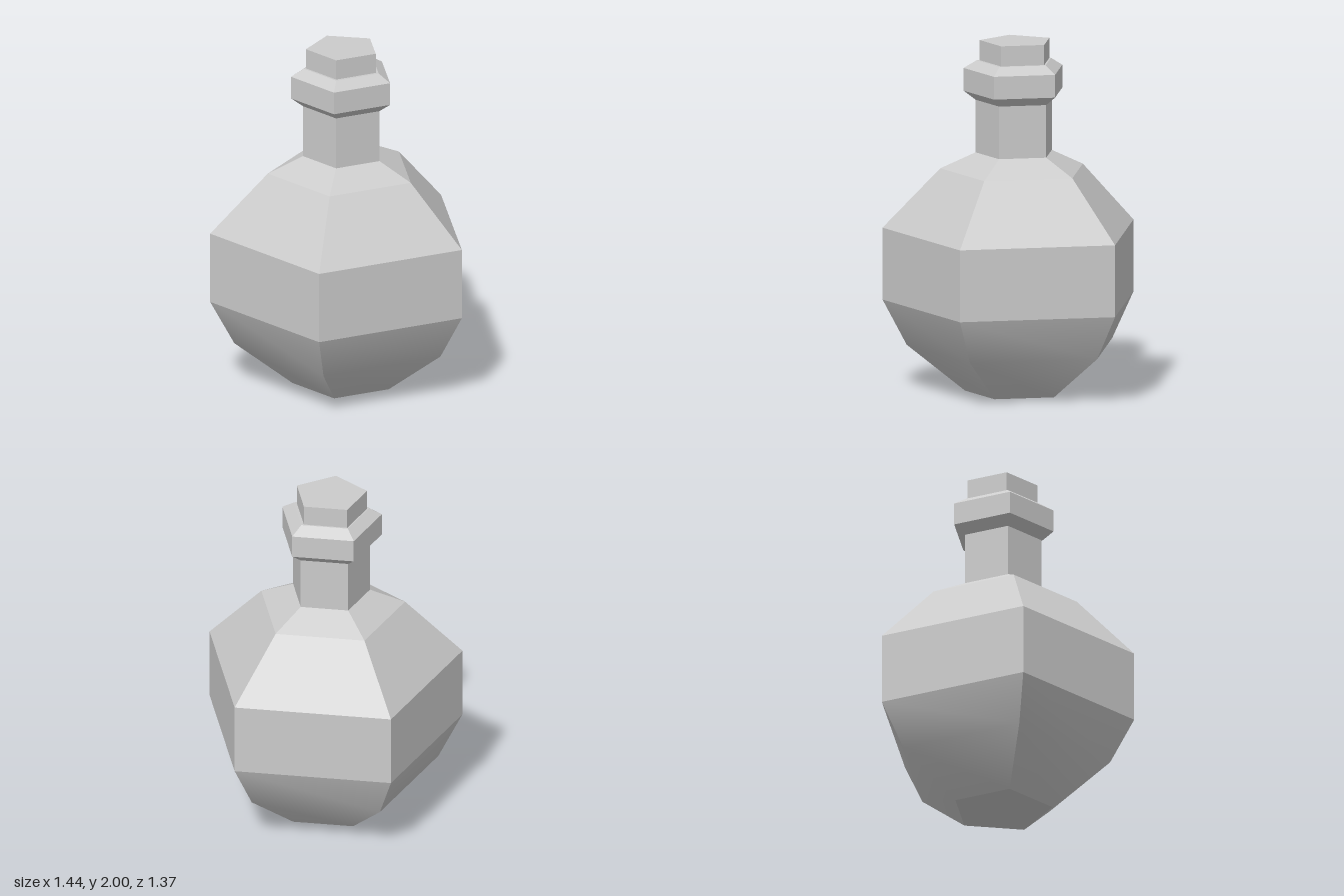
import * as THREE from 'three';
import { toCreasedNormals } from 'three/addons/utils/BufferGeometryUtils.js';

const SIDES = 5;
const AXIS_Z = 0.07; // pentagon axis, offset so the bounding box is centred

// Five-sided solid of revolution with one corner pointing to the back;
// profile is [radius, y] pairs from bottom to top.
function pentagonLathe(name, profile, smoothAngle = 0) {
  const points = profile.map(([r, y]) => new THREE.Vector2(r, y));
  let geometry = new THREE.LatheGeometry(points, SIDES, Math.PI);
  if (smoothAngle) geometry = toCreasedNormals(geometry, smoothAngle);
  const material = new THREE.MeshStandardMaterial({
    color: 0xcccccc,
    flatShading: !smoothAngle,
  });
  const mesh = new THREE.Mesh(geometry, material);
  mesh.name = name;
  mesh.position.z = AXIS_Z;
  return mesh;
}

export function createModel() {
  const flask = new THREE.Group();
  flask.name = 'flask';

  // Rounded underside, softly shaded between its two bands
  flask.add(pentagonLathe('bowl', [[0, 0], [0.29, 0], [0.62, 0.255], [0.757, 0.51]], 0.5));

  // Straight belly and shoulders
  flask.add(pentagonLathe('belly', [[0.757, 0.51], [0.757, 0.92], [0.43, 1.265], [0.23, 1.36]]));

  // Neck
  flask.add(pentagonLathe('neck', [[0.23, 1.36], [0.23, 1.66]]));

  // Bevelled lip ring
  flask.add(pentagonLathe('lip', [
    [0.23, 1.66], [0.298, 1.71], [0.298, 1.84], [0.225, 1.885], [0.2, 1.885],
  ]));

  // Stopper, set a touch off centre
  const stopper = pentagonLathe('stopper', [[0.21, 1.87], [0.21, 2], [0, 2]]);
  stopper.position.x = -0.005;
  flask.add(stopper);

  return flask;
}
